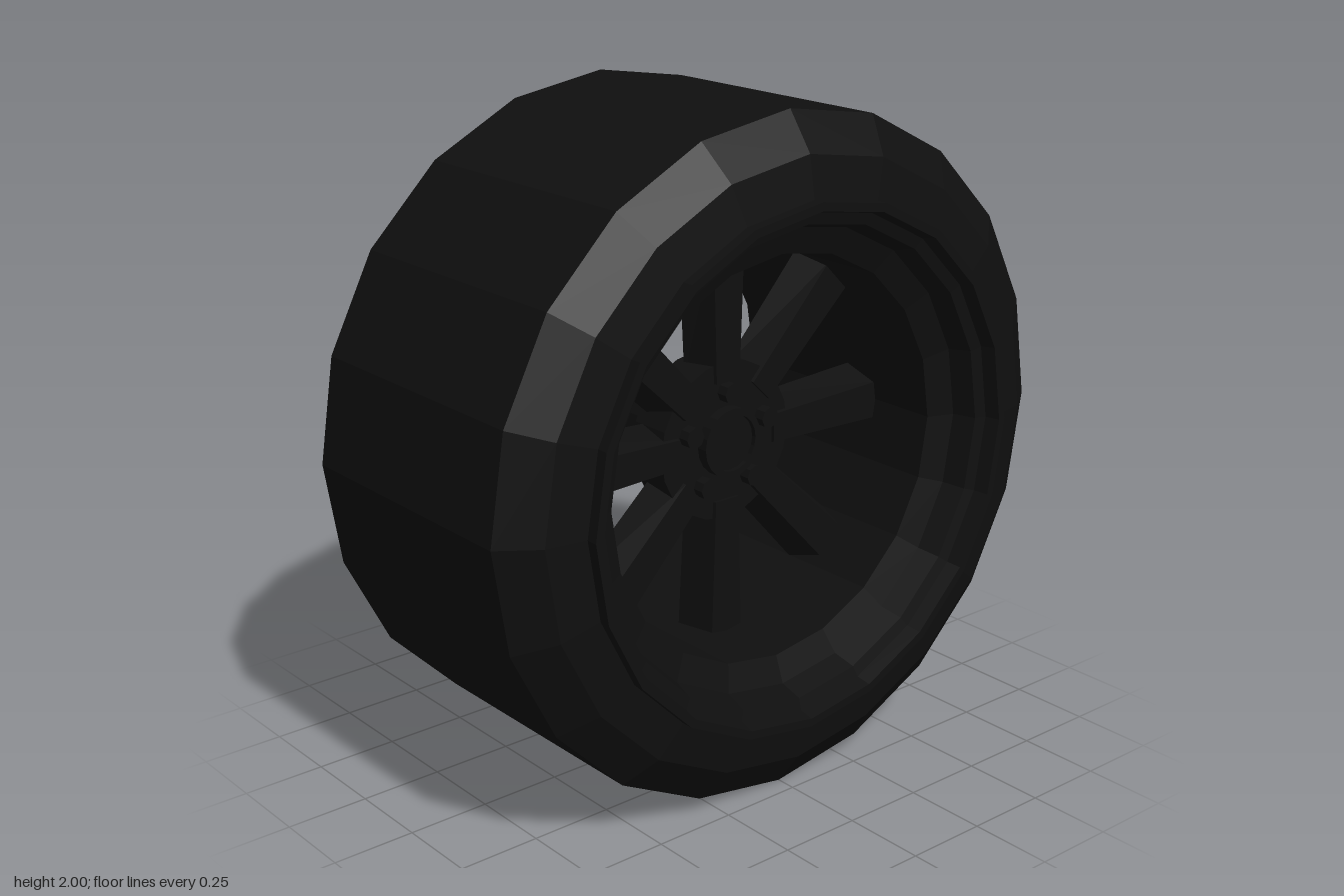
import * as THREE from 'three';

const SIDES = 20;
const black = new THREE.MeshStandardMaterial({ color: 0x0f0f0f, flatShading: true });
black.name = 'matte black';

export function createModel() {
  const wheel = new THREE.Group();
  wheel.name = 'wheel';

  const add = (name, geometry, parent = wheel) => {
    const mesh = new THREE.Mesh(geometry, black);
    mesh.name = name;
    parent.add(mesh);
    return mesh;
  };

  // Closed [radius, x] profile spun about the x axis
  const spin = (name, profile, sides = SIDES) => {
    const points = [...profile, profile[0]].map(([r, x]) => new THREE.Vector2(r, x));
    return add(name, new THREE.LatheGeometry(points, sides).rotateZ(-Math.PI / 2));
  };

  // Solid cylinder lying along x between x0 and x1
  const rod = (name, radius, x0, x1, sides, y = 0, z = 0) => {
    const geometry = new THREE.CylinderGeometry(radius, radius, x1 - x0, sides);
    geometry.rotateZ(-Math.PI / 2).translate((x0 + x1) / 2, y, z);
    return add(name, geometry);
  };

  // Tyre with bevelled shoulders
  spin('tyre', [
    [0.74, -0.48], [0.77, -0.48], [0.89, -0.46], [1, -0.38],
    [1, 0.44], [0.89, 0.52], [0.77, 0.54], [0.74, 0.54],
  ]);

  // Rim: raised lips, stepped slopes and an open barrel
  spin('rim', [
    [0.77, -0.51], [0.77, 0.575], [0.745, 0.575], [0.735, 0.53], [0.7, 0.52],
    [0.68, 0.45], [0.6, 0.42], [0.6, -0.36], [0.68, -0.39],
    [0.7, -0.455], [0.735, -0.465], [0.745, -0.51],
  ]);

  // Hub, axle and centre cap
  rod('hub', 0.24, 0.06, 0.19, SIDES);
  rod('axle', 0.145, -0.58, 0.08, SIDES);
  spin('centreCap', [
    [0.085, 0.18], [0.105, 0.18], [0.105, 0.225], [0.085, 0.225],
  ]);
  rod('capFace', 0.09, 0.18, 0.21, SIDES);

  // Five lug nuts
  for (let i = 0; i < 5; i++) {
    const a = (i * Math.PI * 2) / 5;
    rod('lugNut', 0.032, 0.18, 0.225, 8, 0.15 * Math.cos(a), 0.15 * Math.sin(a));
  }

  // Eight bevelled spokes, narrower toward the hub and the outer face
  for (let i = 0; i < 8; i++) {
    const geometry = new THREE.BoxGeometry(2, 2, 2);
    const p = geometry.attributes.position;
    for (let v = 0; v < p.count; v++) {
      const outer = p.getY(v) > 0;
      const face = p.getX(v) > 0;
      const half = (outer ? 0.095 : 0.072) * (face ? 0.6 : 1);
      p.setXYZ(v, face ? 0.2 : 0.09, outer ? 0.605 : 0.18, p.getZ(v) * half);
    }
    geometry.computeVertexNormals();
    add('spoke', geometry).rotation.x = (i * Math.PI) / 4;
  }

  wheel.position.y = 1;
  const model = new THREE.Group();
  model.name = 'carWheel';
  model.add(wheel);
  return model;
}
